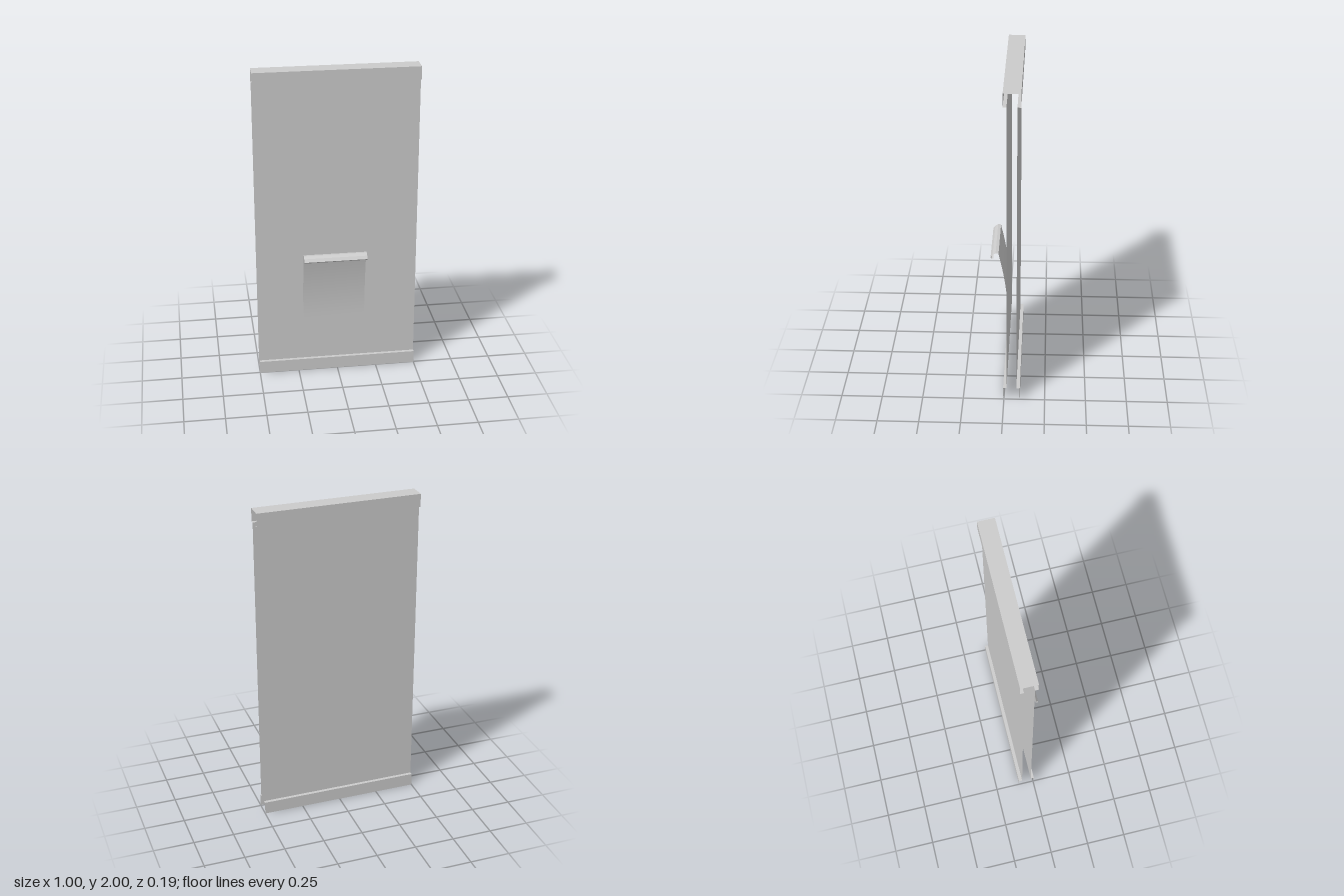
import * as THREE from 'three';

const material = new THREE.MeshStandardMaterial({ color: 0xcccccc, side: THREE.DoubleSide });

// Thin sheet: a profile of [z, y] points swept along x from x0 to x1.
function sheet(name, profile, x0, x1, smooth = false) {
  const positions = [];
  const index = [];
  profile.forEach(([z, y], i) => {
    positions.push(x0, y, z, x1, y, z);
    if (i > 0) {
      const a = 2 * (i - 1);
      index.push(a, a + 1, a + 3, a, a + 3, a + 2);
    }
  });
  let geometry = new THREE.BufferGeometry();
  geometry.setAttribute('position', new THREE.Float32BufferAttribute(positions, 3));
  geometry.setIndex(index);
  if (!smooth) geometry = geometry.toNonIndexed(); // keeps the folds crisp
  geometry.computeVertexNormals();
  const mesh = new THREE.Mesh(geometry, material);
  mesh.name = name;
  return mesh;
}

export function createModel() {
  const group = new THREE.Group();
  group.name = 'hollowPanel';

  const half = 0.5, height = 2, band = 0.08;
  const front = 0.005, back = -0.097, step = 0.021;
  const panelFront = front - step, panelBack = back + step;

  // Top cap: inverted channel with inward ledges, open at both ends
  group.add(sheet('topCap', [
    [panelFront, height - band], [front, height - band], [front, height],
    [back, height], [back, height - band], [panelBack, height - band],
  ], -half, half));

  // Front and back panels with their bottom hems, open underneath
  for (const [side, outer, inner] of [['front', front, panelFront], ['back', back, panelBack]]) {
    const panel = [[inner, band], [inner, height - band]];
    const hem = [[outer, 0], [outer, band], [inner, band]];
    if (side === 'back') { panel.reverse(); hem.reverse(); }
    group.add(sheet(side + 'Panel', panel, -half, half));
    group.add(sheet(side + 'Hem', hem, -half, half));
  }

  // Pull tab: grows tangentially out of the front panel and bends forward
  const tabLeft = -0.215, tabRight = 0.175;
  const tabBottom = 0.36, tabTop = 0.825, reach = 0.057;
  const curve = [];
  for (let i = 0; i <= 16; i++) {
    const t = i / 16;
    curve.push([panelFront + 0.001 + reach * t * t, tabBottom + (tabTop - tabBottom) * t]);
  }
  group.add(sheet('tab', curve, tabLeft, tabRight, true));

  // Faceted lip curling over the top of the tab
  group.add(sheet('tabLip', [
    curve[curve.length - 1], [0.044, 0.838], [0.062, 0.84], [0.08, 0.828],
    [0.093, 0.81], [0.086, 0.802], [0.076, 0.806],
  ], tabLeft, tabRight));

  return group;
}
